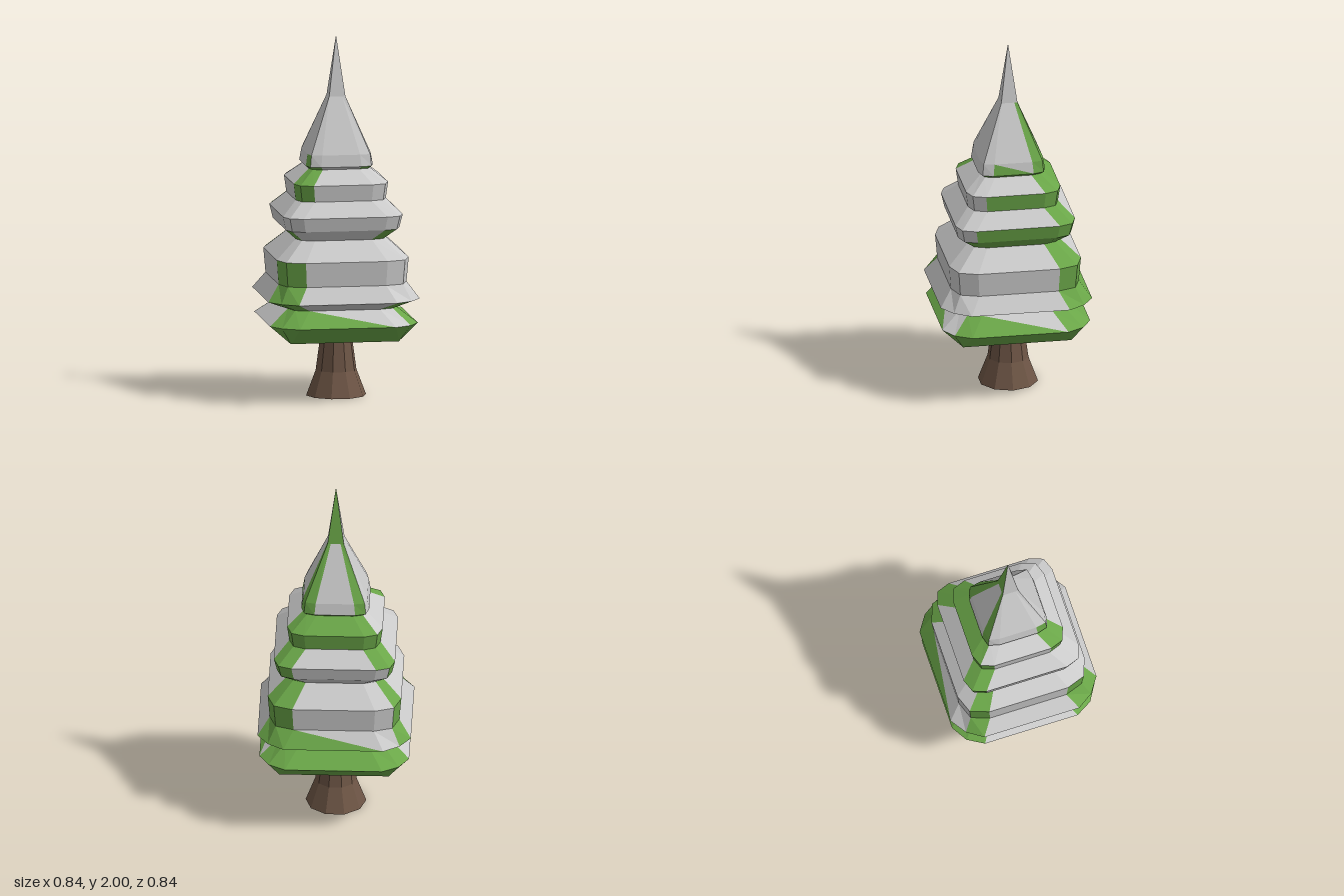
import * as THREE from 'three';

const GREEN = 0x6aa648, BROWN = 0x6d5545;

// Foliage outline, bottom to top: height, half width, flat ratio, corner ratio
const rings = [
  [0.335, 0.3, 0.98, 1],
  [0.43, 0.41, 0.65, 0.87],
  [0.515, 0.3, 0.65, 0.9],
  [0.565, 0.42, 0.65, 0.86],
  [0.655, 0.355, 0.62, 0.9],
  [0.79, 0.366, 0.62, 0.9],
  [0.895, 0.25, 0.63, 0.9],
  [0.955, 0.315, 0.7, 0.92],
  [1.03, 0.332, 0.7, 0.92],
  [1.11, 0.25, 0.63, 0.9],
  [1.2, 0.262, 0.63, 0.9],
  [1.275, 0.168, 0.6, 0.91],
  [1.29, 0.186, 0.6, 0.91],
  [1.355, 0.175, 0.6, 0.93],
  [1.66, 0.045, 0.6, 1],
  [1.995, 0, 0.6, 1],
];

// Cover of each band: front, +x, back, -x; each is a flat and its two corner facets.
// g = green, s = snow, d = split along the diagonal
const cover = [
  'ggg ggg ggg ggg',
  'dsg dgg ggg sgg',
  'sgs sgg ggg ggg',
  'sss sgg dsg sgg',
  'sss sgg ssg sgg',
  'sss sgg ssg sss',
  'sgg ggg sss sgs',
  'sss ggg ssg sss',
  'sss sgg sgg sss',
  'sss ggg ggg sgg',
  'sss sgg ggs sgg',
  'sgg ggg ggg ggg',
  'sss dgg sgs sgs',
  'sss sgg sgs sss',
  'sss ssg ggs sss',
].map((s) => s.replaceAll(' ', ''));

// Square cross-section with two-facet corners, twelve points
function ringPoints([y, h, a, c]) {
  const points = [];
  for (let side = 0; side < 4; side++) {
    for (let [x, z] of [[-a * h, h], [a * h, h], [c * h, c * h]]) {
      for (let k = 0; k < side; k++) [x, z] = [z, -x];
      points.push([x, y, z]);
    }
  }
  return points;
}

function facetMesh(name, triangles, color) {
  const geometry = new THREE.BufferGeometry();
  geometry.setAttribute('position', new THREE.Float32BufferAttribute(triangles.flat(2), 3));
  geometry.computeVertexNormals();
  const mesh = new THREE.Mesh(geometry, new THREE.MeshStandardMaterial({ color, flatShading: true }));
  mesh.name = name;
  return mesh;
}

function createFoliage() {
  const group = new THREE.Group();
  group.name = 'foliage';
  const green = [], snow = [];
  const loops = rings.map(ringPoints);

  // Bands between neighbouring rings
  cover.forEach((row, i) => {
    const low = loops[i], high = loops[i + 1];
    for (let j = 0; j < 12; j++) {
      const n = (j + 1) % 12;
      (row[j] === 's' ? snow : green).push([low[j], low[n], high[j]]);
      if (rings[i + 1][1] > 0) {
        (row[j] === 'g' ? green : snow).push([low[n], high[n], high[j]]);
      }
    }
  });

  // Flat underside
  const base = loops[0], centre = [0, rings[0][0], 0];
  base.forEach((p, j) => green.push([centre, base[(j + 1) % 12], p]));

  group.add(facetMesh('needles', green, GREEN), facetMesh('snow', snow, 0xcccccc));
  return group;
}

// Flared trunk with a closed bottom
function createTrunk() {
  const profile = [[0, 0], [0.166, 0], [0.113, 0.14], [0.085, 0.345]].map(([r, y]) => new THREE.Vector2(r, y));
  const trunk = new THREE.Mesh(
    new THREE.LatheGeometry(profile, 10, Math.PI / 10),
    new THREE.MeshStandardMaterial({ color: BROWN, flatShading: true })
  );
  trunk.name = 'trunk';
  return trunk;
}

export function createModel() {
  const tree = new THREE.Group();
  tree.name = 'snowyTree';
  tree.add(createTrunk(), createFoliage());
  return tree;
}
